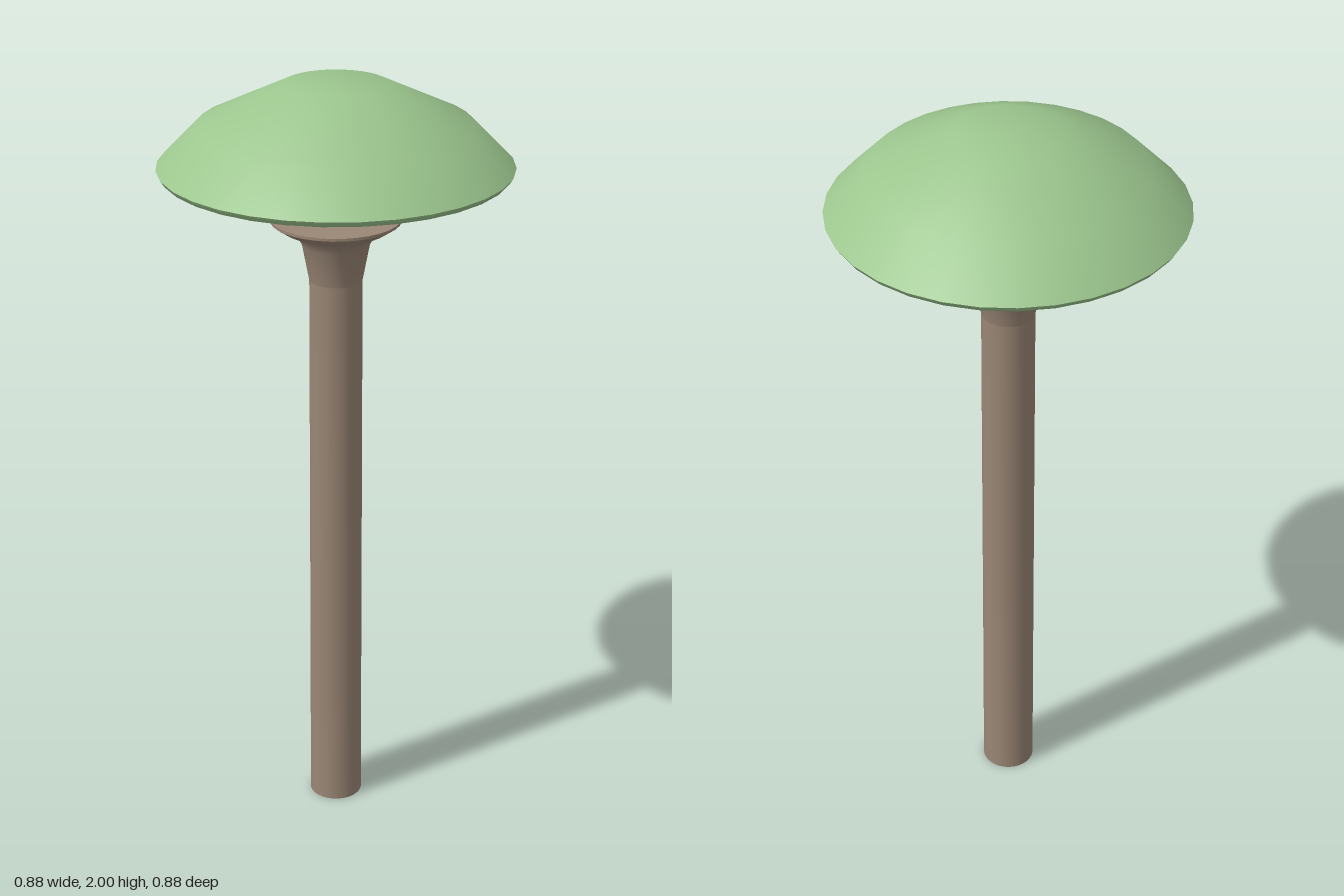
import * as THREE from 'three';
import { toCreasedNormals } from 'three/addons/utils/BufferGeometryUtils.js';

const SIDES = 32;

export function createModel() {
  const model = new THREE.Group();
  const material = (name, color) => new THREE.MeshStandardMaterial({ name, color });
  const green = material('softGreen', 0x9cc68e);
  const brown = material('warmBrown', 0x9a8675);
  const olive = material('olive', 0x938a55);

  // Turned part from [radius, height] pairs, listed from bottom to top on the outside
  function turned(name, mat, profile, crease = 0.9) {
    const points = profile.map(([r, y]) => new THREE.Vector2(r, y));
    // Rotated so that a corner lies on each axis
    const lathe = new THREE.LatheGeometry(points, SIDES);
    const mesh = new THREE.Mesh(toCreasedNormals(lathe, crease), mat);
    mesh.name = name;
    model.add(mesh);
  }

  // Post: closed at the foot
  turned('post', brown, [[0, 0], [0.07, 0], [0.069, 0.39], [0.067, 1.5]]);

  // Collar: flares from the post into a flat flange
  turned('collar', brown, [
    [0.067, 1.5], [0.085, 1.595], [0.1, 1.622], [0.135, 1.636],
    [0.163, 1.655], [0.163, 1.662], [0, 1.662],
  ]);

  // Lamp neck: short olive band below, green cone above
  turned('neckBand', olive, [[0.064, 1.66], [0.077, 1.705]]);
  turned('neck', green, [[0.077, 1.705], [0.108, 1.78], [0.128, 1.83]]);

  // Shade: hollow underside, rolled rim and low dome
  turned('shadeUnderside', green, [[0.128, 1.83], [0.3, 1.81], [0.4, 1.78]]);
  turned('shade', green, [
    [0.4, 1.78], [0.432, 1.783], [0.441, 1.797], [0.34, 1.9], [0.13, 2], [0, 2],
  ], 1.2);

  return model;
}
